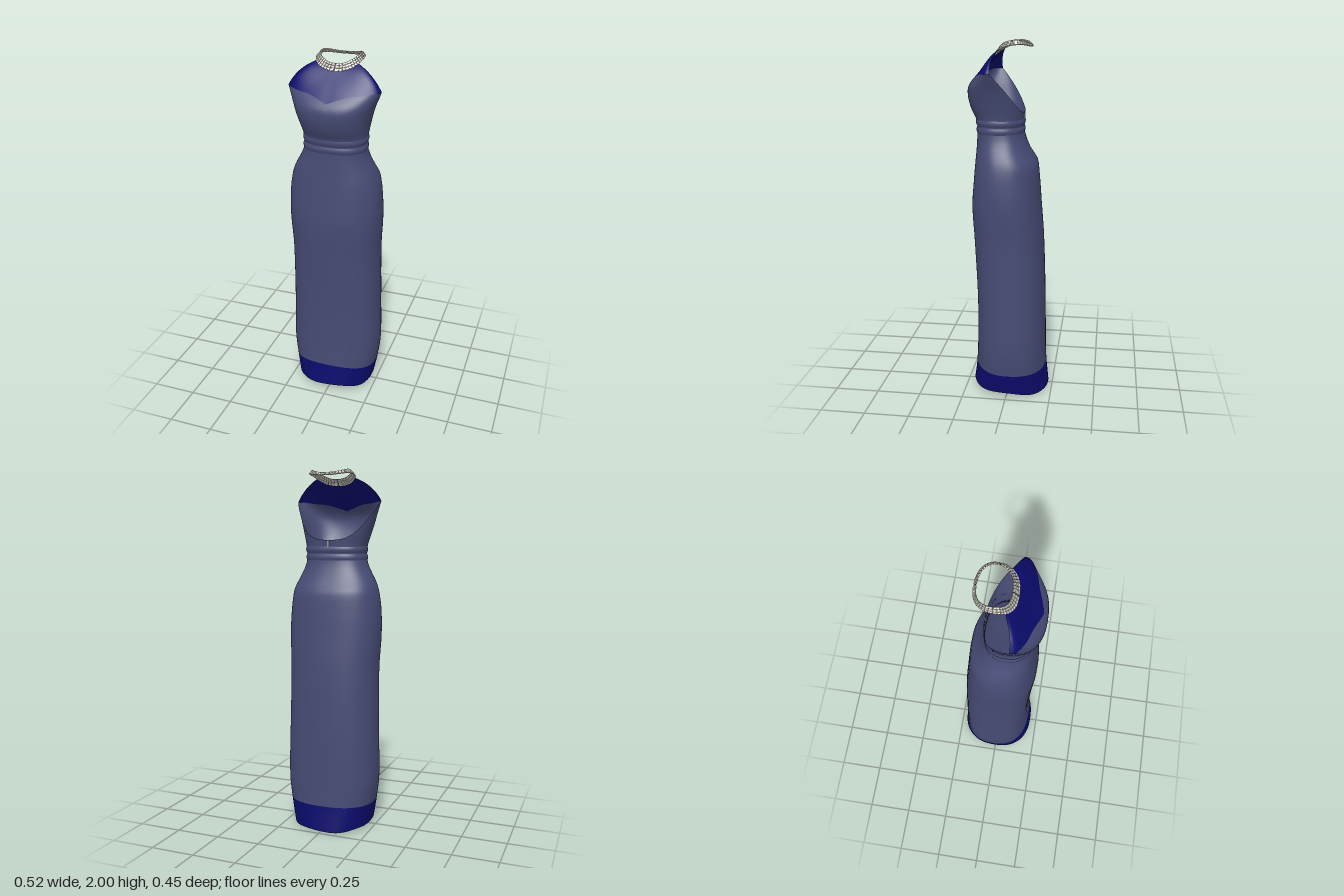
import * as THREE from 'three';
import { mergeGeometries } from 'three/addons/utils/BufferGeometryUtils.js';

// Body cross-sections: [y, half width, centre x, z of widest point, z front, z back]
const RINGS = [
  [0.00, 0.218, 0, 0.00, 0.215, -0.226],
  [0.14, 0.244, 0, -0.01, 0.196, -0.211],
  [0.28, 0.260, 0, -0.01, 0.187, -0.206],
  [0.55, 0.255, 0, -0.01, 0.185, -0.201],
  [0.90, 0.250, 0, 0.00, 0.200, -0.188],
  [1.10, 0.259, 0, 0.01, 0.210, -0.172],
  [1.25, 0.254, 0, 0.02, 0.199, -0.160],
  [1.35, 0.238, 0, 0.02, 0.190, -0.146],
  [1.40, 0.217, 0, 0.03, 0.185, -0.112],
  [1.46, 0.186, 0.004, 0.04, 0.181, -0.088],
  [1.51, 0.170, 0.008, 0.05, 0.178, -0.075],
  [1.58, 0.171, 0.009, 0.05, 0.184, -0.076],
  [1.64, 0.184, 0.007, 0.05, 0.212, -0.080],
  [1.70, 0.201, 0.005, 0.055, 0.227, -0.080],
  [1.75, 0.216, 0.006, 0.060, 0.225, -0.070],
  [1.79, 0.232, 0.008, 0.067, 0.200, -0.050],
  [1.84, 0.252, 0.010, 0.080, 0.150, -0.020],
];

// Smooth (Hermite) interpolation of the cross-section table
function ringAt(y) {
  const last = RINGS.length - 1;
  let i = 0;
  while (i < last - 1 && RINGS[i + 1][0] < y) i++;
  const p = RINGS[i], q = RINGS[i + 1];
  const o = RINGS[Math.max(i - 1, 0)], r = RINGS[Math.min(i + 2, last)];
  const h = q[0] - p[0], t = THREE.MathUtils.clamp((y - p[0]) / h, 0, 1);
  const t2 = t * t, t3 = t2 * t;
  return p.map((v, k) => {
    const m0 = (q[k] - o[k]) / (q[0] - o[0]) * h, m1 = (r[k] - v) / (r[0] - p[0]) * h;
    return (2 * t3 - 3 * t2 + 1) * v + (t3 - 2 * t2 + t) * m0 + (3 * t2 - 2 * t3) * q[k] + (t3 - t2) * m1;
  });
}

const soft = (v) => Math.sign(v) * Math.abs(v) ** 0.83;

// Point on the body at angle a (0 = left side, PI/2 = front), height y
function body(a, y, grow = 0) {
  const [, w, cx, zm, zf, zb] = ringAt(y);
  const s = soft(Math.sin(a));
  const depth = s > 0 ? zf - zm : zm - zb;
  return new THREE.Vector3(cx + (w + grow) * soft(Math.cos(a)), y, zm + (depth + grow) * s);
}

// Surface through fn(u, v), u around and v upward
function surface(fn, nu, nv, closed) {
  const pos = [], idx = [], cols = closed ? nu : nu + 1;
  for (let j = 0; j <= nv; j++)
    for (let i = 0; i < cols; i++) pos.push(...fn(i / nu, j / nv).toArray());
  for (let j = 0; j < nv; j++)
    for (let i = 0; i < nu; i++) {
      const a = j * cols + i, b = j * cols + (i + 1) % cols, c = a + cols, d = b + cols;
      idx.push(a, c, b, b, c, d);
    }
  const g = new THREE.BufferGeometry();
  g.setAttribute('position', new THREE.Float32BufferAttribute(pos, 3));
  g.setIndex(idx);
  g.computeVertexNormals();
  return g;
}

// Edge lines of the dress, as heights by angle
const hemBottom = (a) => 0.024 + 0.02 * Math.sin(a) + 0.004 * Math.cos(5 * a);
const hemTop = (a) => 0.145 + 0.03 * Math.max(0, Math.sin(a)) ** 2;
function bodiceTop(a) {
  const s = Math.sin(a);
  if (s < 0) return 1.62 + 0.212 * (1 + s) ** 1.3;
  const x = 0.25 * Math.abs(soft(Math.cos(a)));
  return 1.772 + 0.048 * THREE.MathUtils.smoothstep(x, -0.06, 0.15) + 0.012 * THREE.MathUtils.smoothstep(x, 0.15, 0.25);
}

// Tilted neck band, v = 0 outer lower edge, v = 1 inner upper edge
function collar(a, v, lift = 0) {
  const s = Math.sin(a), w = 0.7 + 0.3 * s;
  const inset = 0.03 * w * v - lift;
  const y = 1.982 - 0.0175 * s - 0.0295 * s * s;
  return new THREE.Vector3(0.01 + (0.125 - inset) * soft(Math.cos(a)),
    y + (v - 0.5) * 0.034 * w + lift, -0.018 + (0.103 - inset) * soft(s));
}

export function createModel() {
  const group = new THREE.Group();
  const mat = (name, color) => {
    const m = new THREE.MeshStandardMaterial({ color, side: THREE.DoubleSide });
    m.name = name;
    return m;
  };
  const slate = mat('slate blue fabric', 0x464b74);
  const navy = mat('navy fabric', 0x0b0b6c);
  const dark = mat('dark setting', 0x4a4a4c);
  const silver = mat('pale stones', 0xdcdad0);
  const add = (name, geometry, material) => {
    const m = new THREE.Mesh(geometry, material);
    m.name = name;
    group.add(m);
  };
  const TAU = Math.PI * 2, lerp = THREE.MathUtils.lerp;

  // Skirt and hem
  add('hemBand', surface((u, v) => body(u * TAU, lerp(hemBottom(u * TAU), hemTop(u * TAU), v)), 72, 6, true), navy);
  add('skirt', surface((u, v) => body(u * TAU, lerp(hemTop(u * TAU), 1.52, v)), 72, 48, true), slate);

  // Waistband: two soft rolls
  add('waistband', surface((u, v) =>
    body(u * TAU, lerp(1.505, 1.585, v), 0.006 * Math.abs(Math.sin(v * TAU)) - 0.001), 72, 16, true), slate);

  // Bodice with low open back
  add('bodice', surface((u, v) => body(u * TAU, lerp(1.52, bodiceTop(u * TAU), v)), 96, 20, true), slate);

  // Halter yoke from the bodice seam up to the neck
  add('yoke', surface((u, v) => {
    const a = u * Math.PI, side = Math.abs(Math.cos(a)) ** 2;
    const p0 = body(a, bodiceTop(a));
    const p2 = collar(lerp(0.5, Math.PI - 0.5, u), 0.15);
    const p1 = p0.clone().add(p2).multiplyScalar(0.5);
    p1.x += Math.cos(a) * side * 0.025;
    p1.y += side * 0.025 - (1 - side) * 0.004;
    p1.z += side * 0.025;
    return new THREE.QuadraticBezierCurve3(p0, p1, p2).getPoint(v);
  }, 48, 14, false), navy);

  // Jewelled collar
  add('collarBand', surface((u, v) => collar(u * TAU, v), 72, 3, true), dark);
  const stones = [], rows = 3, count = 44;
  for (let r = 0; r < rows; r++)
    for (let i = 0; i < count; i++) {
      const a = (i + 0.5) / count * TAU, v = (r + 0.5) / rows;
      const along = collar(a + 0.06, v).sub(collar(a - 0.06, v));
      const across = collar(a, v + 1 / rows).sub(collar(a, v));
      const len = along.length() / 0.12 * TAU / count, wid = across.length();
      along.normalize();
      const normal = new THREE.Vector3().crossVectors(across, along).normalize();
      across.crossVectors(along, normal);
      const m = new THREE.Matrix4().makeBasis(along, across, normal).setPosition(collar(a, v));
      stones.push(new THREE.BoxGeometry(len * 0.84, wid * 0.84, 0.007).applyMatrix4(m));
    }
  add('collarStones', mergeGeometries(stones), silver);

  // Small clasp at the back of the waist
  const clasp = new THREE.BoxGeometry(0.005, 0.035, 0.006);
  clasp.translate(0.009, 1.6, -0.079);
  add('backClasp', clasp, silver);

  return group;
}
